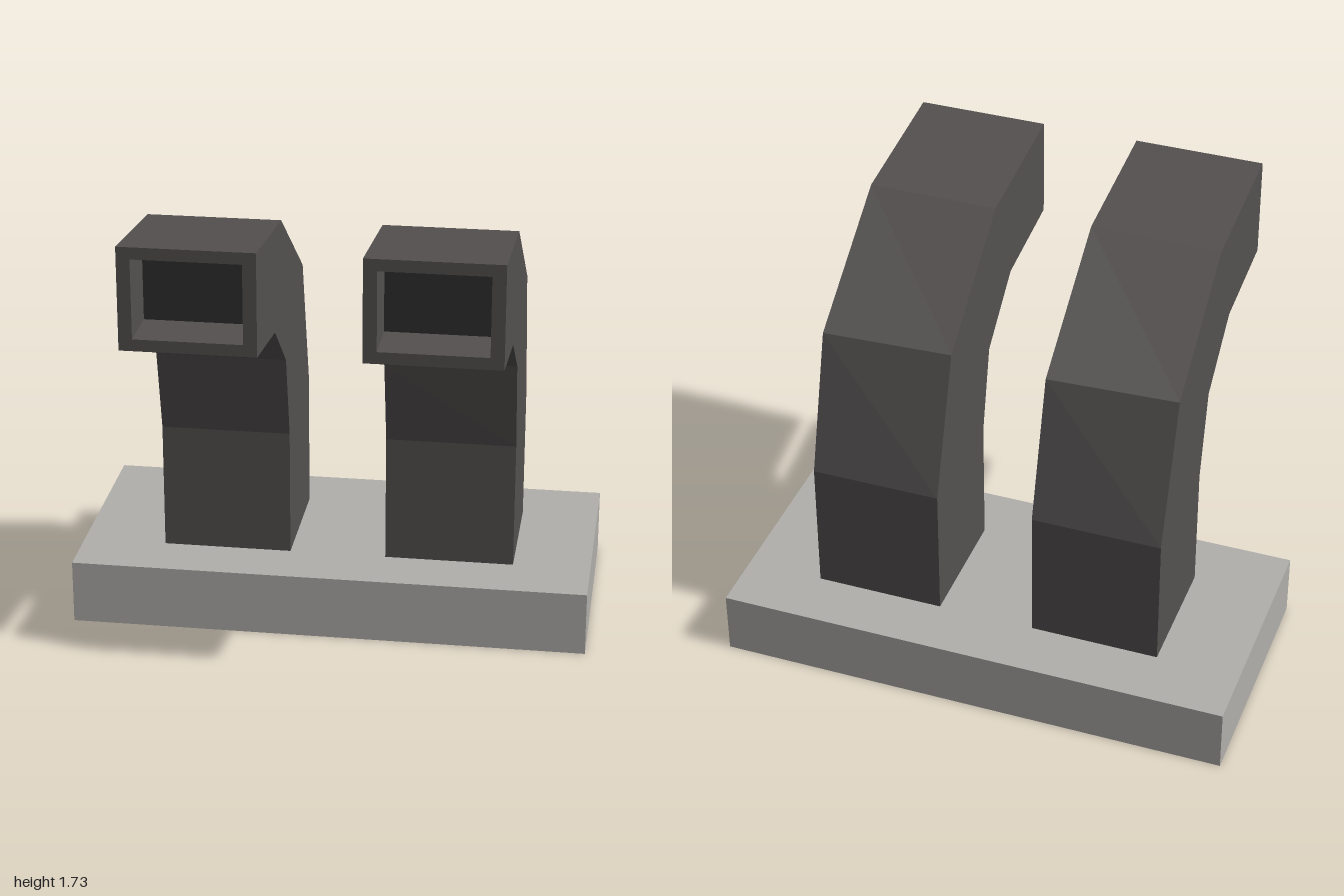
import * as THREE from 'three';

const material = (name, color) => {
  const m = new THREE.MeshStandardMaterial({ color });
  m.name = name;
  return m;
};

// Flat-faced geometry from a list of quads, each seen counter-clockwise.
function quadGeometry(quads) {
  const points = quads.flatMap(([a, b, c, d]) => [a, b, c, a, c, d].flat());
  const geometry = new THREE.BufferGeometry();
  geometry.setAttribute('position', new THREE.Float32BufferAttribute(points, 3));
  geometry.computeVertexNormals();
  return geometry;
}

// Rectangular ring: outer and inner corners given as [z, y], with separate values for the far side.
const ring = (x0, x1, outer0, inner0, outer1 = outer0, inner1 = inner0) => [
  [x0, outer0[1], outer0[0]], [x1, outer1[1], outer1[0]],
  [x1, inner1[1], inner1[0]], [x0, inner0[1], inner0[0]],
];

function createDuct(name, x0, x1, innerBend, ductMaterial, openingMaterial) {
  const group = new THREE.Group();
  group.name = name;
  const m = 0.05;      // rim width
  const depth = 0.51;  // z of the recessed back
  const rings = [
    ring(x0, x1, [-0.485, 0.25], [0.01, 0.25]),
    ring(x0, x1, [-0.485, 0.78], [0.01, 0.75]),
    ring(x0, x1, [-0.31, 1.32], [0.085, 1.085], [-0.335, 1.32], innerBend),
    ring(x0, x1, [0.17, 1.67], [0.33, 1.29]),
    ring(x0, x1, [0.715, 1.73], [0.715, 1.34]),
    // rim and recess
    ring(x0 + m, x1 - m, [0.715, 1.685], [0.715, 1.385]),
    ring(x0 + m, x1 - m, [depth, 1.685], [depth, 1.385]),
  ];
  const quads = [];
  for (let r = 0; r < rings.length - 1; r++) {
    for (let i = 0; i < 4; i++) {
      const j = (i + 1) % 4;
      quads.push([rings[r][i], rings[r + 1][i], rings[r + 1][j], rings[r][j]]);
    }
  }
  const shell = new THREE.Mesh(quadGeometry(quads), ductMaterial);
  shell.name = 'ductShell';

  // dark panel at the back of the opening
  const [a, b, c, d] = rings[rings.length - 1];
  const panel = new THREE.Mesh(quadGeometry([[a, d, c, b]]), openingMaterial);
  panel.name = 'openingBack';
  group.add(shell, panel);
  return group;
}

export function createModel() {
  const model = new THREE.Group();
  model.name = 'twinVentDucts';
  const concrete = material('concreteGrey', 0xb0afab);
  const metal = material('darkMetal', 0x545050);
  const dark = material('openingDark', 0x2e2f2e);

  // base slab
  const base = new THREE.Mesh(new THREE.BoxGeometry(2, 0.25, 0.95), concrete);
  base.name = 'baseSlab';
  base.position.set(0, 0.125, -0.24);
  model.add(base);

  // two bent ducts
  model.add(
    createDuct('rightDuct', -0.675, -0.175, [0.085, 1.085], metal, dark),
    createDuct('leftDuct', 0.2, 0.7, [0.077, 1.105], metal, dark),
  );
  return model;
}
